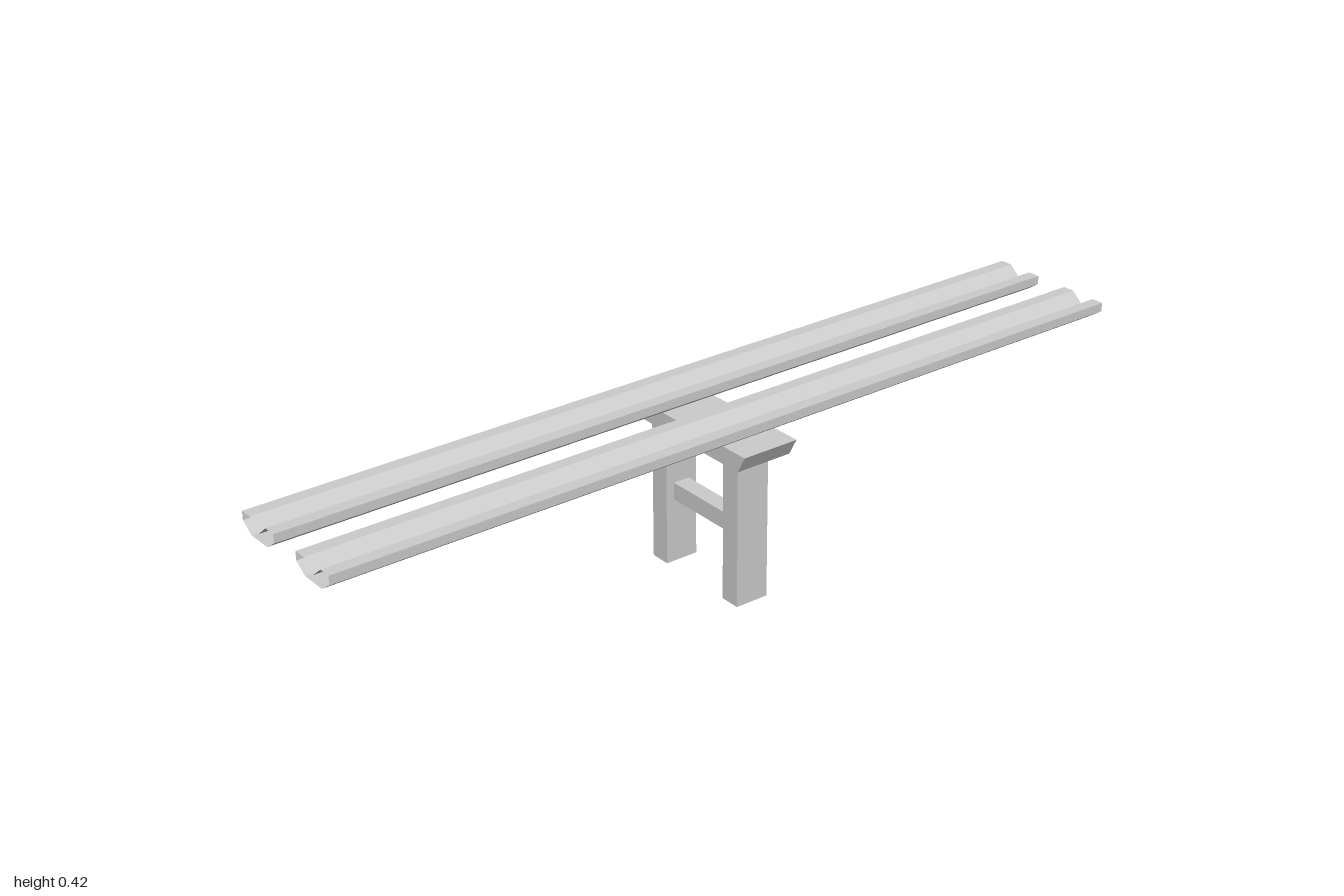
import * as THREE from 'three';

// Open-ended tube: a counter-clockwise xy profile swept along z, centred on z = 0
function openTube(profile, length) {
  const z = length / 2;
  const pos = [];
  profile.forEach(([px, py], i) => {
    const [qx, qy] = profile[(i + 1) % profile.length];
    pos.push(px, py, -z, qx, qy, -z, qx, qy, z);
    pos.push(px, py, -z, qx, qy, z, px, py, z);
  });
  const geometry = new THREE.BufferGeometry();
  geometry.setAttribute('position', new THREE.Float32BufferAttribute(pos, 3));
  geometry.computeVertexNormals();
  return geometry;
}

export function createModel() {
  const group = new THREE.Group();
  const solid = new THREE.MeshStandardMaterial({ color: 0xcccccc, flatShading: true });
  const open = new THREE.MeshStandardMaterial({ color: 0xcccccc, flatShading: true, side: THREE.DoubleSide });

  const add = (name, geometry, material, x, y, z) => {
    const mesh = new THREE.Mesh(geometry, material);
    mesh.name = name;
    mesh.position.set(x, y, z);
    group.add(mesh);
    return mesh;
  };

  // Rail: V groove on top, chamfered underside, hollow ends
  const railProfile = [
    [-0.03, 0.38], [0.03, 0.38], [0.059, 0.4], [0.059, 0.42], [0.03, 0.42],
    [0, 0.395], [-0.03, 0.42], [-0.059, 0.42], [-0.059, 0.4],
  ];
  const railGeometry = openTube(railProfile, 2);

  // Leg: hollow square post, open at the foot
  const w = 0.024, d = 0.04;
  const legGeometry = openTube([[-w, -d], [w, -d], [w, d], [-w, d]], 0.34).rotateX(-Math.PI / 2);

  for (const [side, s] of [['left', 1], ['right', -1]]) {
    add(side + 'Rail', railGeometry, open, s * 0.1, 0, 0);
    add(side + 'Leg', legGeometry, open, s * 0.12, 0.17, 0);
  }

  // Cap beam with slanted ends
  const capShape = new THREE.Shape([
    new THREE.Vector2(-0.178, 0.34), new THREE.Vector2(0.178, 0.34),
    new THREE.Vector2(0.2, 0.38), new THREE.Vector2(-0.2, 0.38),
  ]);
  add('capBeam', new THREE.ExtrudeGeometry(capShape, { depth: 0.136, bevelEnabled: false }), solid, 0, 0, -0.068);

  // Cross brace between the legs
  add('crossBrace', new THREE.BoxGeometry(0.192, 0.04, 0.04), solid, 0, 0.17, 0);

  return group;
}
